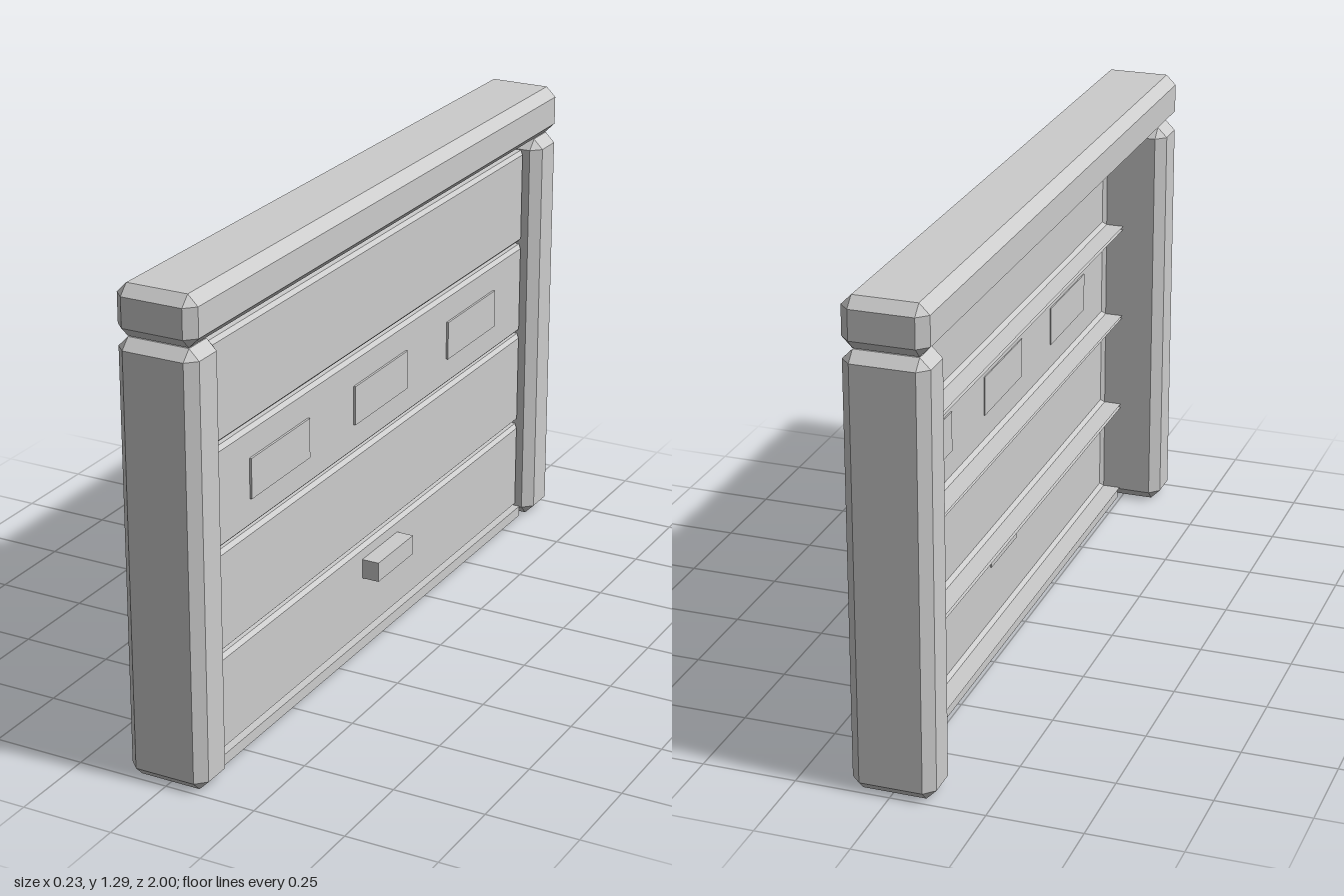
import * as THREE from 'three';
import { ConvexGeometry } from 'three/addons/geometries/ConvexGeometry.js';

const steel = new THREE.MeshStandardMaterial({ color: 0xcccccc, side: THREE.DoubleSide });
steel.name = 'light grey steel';

function add(group, name, geometry) {
  const mesh = new THREE.Mesh(geometry, steel);
  mesh.name = name;
  group.add(mesh);
  return mesh;
}

// Box given by its limits on each axis
function box([x0, x1], [y0, y1], [z0, z1]) {
  return new THREE.BoxGeometry(x1 - x0, y1 - y0, z1 - z0)
    .translate((x0 + x1) / 2, (y0 + y1) / 2, (z0 + z1) / 2);
}

// Box with every edge cut by a flat bevel
function bevelledBox(xs, ys, zs, bevel) {
  const limits = [xs, ys, zs];
  const points = [];
  for (let corner = 0; corner < 8; corner++) {
    for (let outer = 0; outer < 3; outer++) {
      const p = limits.map((range, axis) => {
        const high = (corner >> axis) & 1;
        const inset = axis === outer ? 0 : bevel;
        return high ? range[1] - inset : range[0] + inset;
      });
      points.push(new THREE.Vector3(...p));
    }
  }
  return new ConvexGeometry(points);
}

// Pressed door panel: bevelled front, side walls, open at the back
function trayPanel(xBack, xFront, y0, y1, halfWidth, bevel) {
  const ring = (x, i) => [
    [x, y0 + i, halfWidth - i], [x, y0 + i, -halfWidth + i],
    [x, y1 - i, -halfWidth + i], [x, y1 - i, halfWidth - i],
  ];
  const rings = [ring(xBack, 0), ring(xFront - bevel, 0), ring(xFront, bevel)];
  const positions = [];
  const quad = (a, b, c, d) => positions.push(...a, ...b, ...c, ...a, ...c, ...d);
  for (let r = 0; r < 2; r++) {
    for (let k = 0; k < 4; k++) {
      const n = (k + 1) % 4;
      quad(rings[r][k], rings[r][n], rings[r + 1][n], rings[r + 1][k]);
    }
  }
  quad(...rings[2]);
  const geometry = new THREE.BufferGeometry();
  geometry.setAttribute('position', new THREE.Float32BufferAttribute(positions, 3));
  geometry.computeVertexNormals();
  return geometry;
}

export function createModel() {
  const model = new THREE.Group();
  model.name = 'sectionalDoor';
  const frameX = [-0.113, 0.107];
  const faceX = 0.064;

  // Frame: two posts and the beam resting on them
  add(model, 'leftEndPost', bevelledBox(frameX, [0, 1.158], [0.868, 1], 0.027));
  add(model, 'rightEndPost', bevelledBox(frameX, [0, 1.158], [-1, -0.868], 0.027));
  add(model, 'topBeam', bevelledBox(frameX, [1.16, 1.292], [-1, 1], 0.027));

  // Four stacked door sections
  const sections = [[0.032, 0.293], [0.304, 0.576], [0.584, 0.85], [0.86, 1.13]];
  sections.forEach(([y0, y1], i) => {
    add(model, `doorPanel${i + 1}`, trayPanel(0.004, faceX, y0, y1, 0.865, 0.01));
  });

  // Bottom seal
  add(model, 'bottomSeal', box([0.01, 0.074], [0, 0.03], [-0.865, 0.865]));

  // Window plates, just proud of both sides of their panel
  [-0.532, 0.002, 0.536].forEach((z, i) => {
    add(model, `window${i + 1}`, box([faceX - 0.003, faceX + 0.006], [0.662, 0.77], [z - 0.146, z + 0.146]));
  });

  // Pull handle
  add(model, 'handle', box([faceX - 0.003, 0.113], [0.2, 0.255], [-0.1, 0.1]));
  return model;
}
